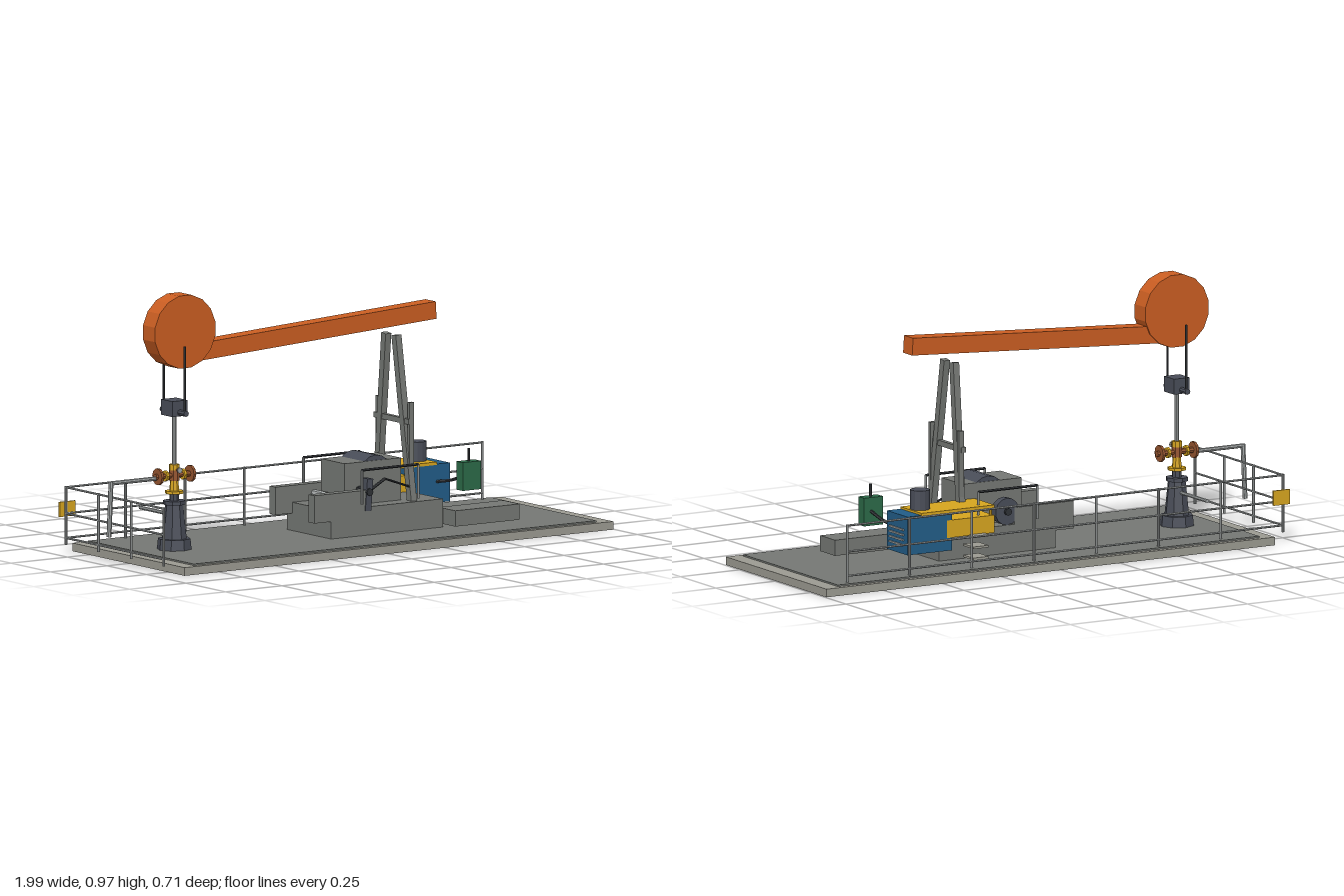
import * as THREE from 'three';

const material = (name, color) => {
  const m = new THREE.MeshStandardMaterial({ color, flatShading: true });
  m.name = name;
  return m;
};
const V = (x, y, z) => new THREE.Vector3(x, y, z);

export function createModel() {
  const model = new THREE.Group();
  model.name = 'pumpJack';
  const concrete = material('concrete', 0x9c9b92);
  const grey = material('grey', 0x757874);
  const steel = material('steel', 0xa3a7a7);
  const slate = material('slate', 0x494d58);
  const dark = material('dark', 0x2f3236);
  const orange = material('orange', 0xcb5e22);
  const yellow = material('yellow', 0xd7a51f);
  const blue = material('blue', 0x225d88);
  const green = material('green', 0x2c6a48);
  const rust = material('rust', 0x96552f);

  const add = (name, geometry, mat) => {
    const mesh = new THREE.Mesh(geometry, mat);
    mesh.name = name;
    model.add(mesh);
    return mesh;
  };
  // box given by its low and high limits on each axis
  const box = (name, mat, [x0, x1], [y0, y1], [z0, z1]) => {
    const mesh = add(name, new THREE.BoxGeometry(x1 - x0, y1 - y0, z1 - z0), mat);
    mesh.position.set((x0 + x1) / 2, (y0 + y1) / 2, (z0 + z1) / 2);
    return mesh;
  };
  // round bar from a to b
  const rod = (name, mat, a, b, r0, r1 = r0, sides = 8) => {
    const mesh = add(name, new THREE.CylinderGeometry(r1, r0, a.distanceTo(b), sides), mat);
    mesh.position.copy(a).lerp(b, 0.5);
    mesh.quaternion.setFromUnitVectors(V(0, 1, 0), b.clone().sub(a).normalize());
    return mesh;
  };
  // square bar in the plane x = constant
  const strut = (name, mat, a, b, w, d) => {
    const mesh = add(name, new THREE.BoxGeometry(d, a.distanceTo(b), w), mat);
    mesh.position.copy(a).lerp(b, 0.5);
    mesh.quaternion.setFromUnitVectors(V(0, 1, 0), b.clone().sub(a).normalize());
    return mesh;
  };

  // ground slab and pedestal
  box('slab', concrete, [-0.905, 0.995], [0, 0.03], [-0.355, 0.355]);
  box('deck', grey, [-0.85, 0.935], [0.03, 0.036], [-0.335, 0.335]);
  box('pedestal', grey, [-0.105, 0.39], [0.035, 0.14], [-0.14, 0.14]);
  box('cableTrunk', grey, [0.4, 0.685], [0.045, 0.103], [0.1, 0.205]);

  // walking beam and round head
  const beam = add('walkingBeam', new THREE.BoxGeometry(1.08, 0.064, 0.064), orange);
  beam.position.set(-0.103, 0.784, 0);
  beam.rotation.z = Math.atan2(0.058, 1);
  const head = add('beamHead', new THREE.CylinderGeometry(0.136, 0.136, 0.076, 16), orange);
  head.rotation.set(Math.PI / 2, Math.PI / 16, 0);
  head.position.set(-0.68, 0.836, 0);

  // A-frame post and uprights
  for (const s of [-1, 1]) {
    strut('postLeg', grey, V(0.275, 0.13, 0.11 * s), V(0.26, 0.74, 0.032 * s), 0.028, 0.025);
    box('upright', grey, [0.265, 0.285], [0.14, 0.5], [0.101 * s - 0.007, 0.101 * s + 0.007]);
  }
  box('postCrossbar', grey, [0.258, 0.276], [0.42, 0.44], [-0.11, 0.11]);

  // gearbox, drum, crankshaft, counterweights
  box('gearbox', grey, [0, 0.25], [0.14, 0.295], [-0.075, 0.075]);
  rod('gearboxDrum', slate, V(0.14, 0.2425, -0.072), V(0.14, 0.2425, 0.072), 0.0725, 0.0725, 16);
  rod('crankshaft', steel, V(-0.008, 0.165, -0.11), V(-0.008, 0.165, 0.11), 0.014);
  rod('beltPulley', slate, V(0.1, 0.19, -0.14), V(0.1, 0.19, -0.11), 0.05, 0.05, 14);
  rod('pulleyHub', dark, V(0.1, 0.19, -0.15), V(0.1, 0.19, -0.07), 0.014);
  for (const s of [-1, 1]) {
    const [z0, z1] = s > 0 ? [0.105, 0.142] : [-0.142, -0.105];
    box('counterweight', grey, [-0.18, 0.07], [0.1, 0.202], [z0, z1]);
    // guard frame beside the gearbox
    for (const x of [0, 0.25]) rod('guardPost', steel, V(x, 0.16, 0.185 * s), V(x, 0.285, 0.185 * s), 0.005, 0.005, 6);
    rod('guardRail', dark, V(0, 0.285, 0.185 * s), V(0.25, 0.285, 0.185 * s), 0.005, 0.005, 6);
  }
  const arm = box('crankArm', slate, [0.048, 0.074], [0.125, 0.243], [0.112, 0.145]);
  arm.rotation.z = -0.08;
  rod('crankPin', dark, V(0.06, 0.195, 0.08), V(0.06, 0.195, 0.152), 0.014);
  rod('brakeLever', dark, V(0.06, 0.19, 0.13), V(0.14, 0.235, 0.13), 0.006);
  rod('brakeLink', dark, V(0.14, 0.235, 0.13), V(0.27, 0.19, 0.11), 0.004);

  // engine
  box('engineBody', yellow, [0.2, 0.4], [0.135, 0.2], [-0.215, -0.07]);
  box('engineTopPlate', yellow, [0.2, 0.51], [0.227, 0.238], [-0.217, -0.068]);
  for (const z of [-0.205, -0.08]) rod('topPlatePost', yellow, V(0.21, 0.19, z), V(0.21, 0.23, z), 0.005);
  box('radiatorHousing', blue, [0.38, 0.568], [0.088, 0.23], [-0.215, -0.07]);
  for (let i = 0; i < 4; i++) {
    const y = 0.118 + i * 0.019;
    box('louvre', steel, [0.566, 0.574], [y, y + 0.006], [-0.19, -0.092]);
  }
  rod('exhaust', slate, V(0.47, 0.235, -0.14), V(0.47, 0.31, -0.14), 0.036, 0.036, 12);
  for (let i = 0; i < 3; i++) {
    const y = 0.048 + i * 0.041;
    box('stepTread', concrete, [0.24, 0.305], [y, y + 0.008], [-0.242, -0.17]);
  }

  // control cabinet with mast and cable
  box('controlCabinet', green, [0.51, 0.59], [0.152, 0.256], [0.054, 0.095]);
  rod('cabinetMast', dark, V(0.55, 0.25, 0.075), V(0.55, 0.303, 0.075), 0.005);
  const cable = new THREE.CatmullRomCurve3([V(0.56, 0.205, 0.055), V(0.54, 0.175, -0.02), V(0.51, 0.165, -0.075)]);
  add('controlCable', new THREE.TubeGeometry(cable, 10, 0.006, 6), dark);

  // hanger: cables, carrier and rod
  const wx = -0.702;
  box('carrier', slate, [wx - 0.033, wx + 0.033], [0.527, 0.584], [-0.036, 0.036]);
  rod('carrierBar', slate, V(wx, 0.541, -0.077), V(wx, 0.541, 0.077), 0.011);
  for (const s of [-1, 1]) rod('bridleCable', dark, V(wx, 0.53, 0.066 * s), V(wx, 0.787, 0.066 * s), 0.004, 0.004, 6);
  rod('polishedRod', steel, V(wx, 0.2, 0), V(wx, 0.53, 0), 0.008);

  // wellhead stack: [name, material, y0, y1, bottom radius, top radius]
  for (const [name, mat, y0, y1, r0, r1] of [
    ['wellFlange', slate, 0.035, 0.075, 0.064, 0.06],
    ['wellColumn', slate, 0.075, 0.2, 0.046, 0.033],
    ['columnCap', slate, 0.2, 0.214, 0.041, 0.041],
    ['lowerSpool', slate, 0.214, 0.24, 0.018, 0.018],
    ['spoolFlange', yellow, 0.24, 0.25, 0.034, 0.034],
    ['valveBody', yellow, 0.25, 0.29, 0.018, 0.015],
    ['crossBody', rust, 0.288, 0.326, 0.02, 0.02],
    ['stuffingBox', yellow, 0.326, 0.347, 0.019, 0.019],
  ]) rod(name, mat, V(wx, y0, 0), V(wx, y1, 0), r0, r1, 8);
  rod('crossPipe', rust, V(wx - 0.085, 0.307, 0), V(wx + 0.085, 0.307, 0), 0.011);
  for (const s of [-1, 1]) {
    rod('crossFlange', yellow, V(wx + 0.034 * s, 0.307, 0), V(wx + 0.044 * s, 0.307, 0), 0.02);
    rod('handwheel', rust, V(wx + 0.066 * s, 0.307, 0), V(wx + 0.076 * s, 0.307, 0), 0.031, 0.031, 10);
  }
  rod('valveStem', rust, V(wx, 0.328, 0), V(wx, 0.328, 0.034), 0.005);
  rod('stemKnob', steel, V(wx, 0.328, 0.032), V(wx, 0.328, 0.037), 0.011);
  rod('sidePipe', steel, V(wx, 0.16, 0), V(wx, 0.16, -0.215), 0.007);

  // flow line
  rod('flowLine', steel, V(wx - 0.08, 0.301, 0), V(-0.985, 0.301, 0), 0.008);
  rod('flowLineDrop', steel, V(-0.982, 0.307, 0), V(-0.991, 0.105, 0), 0.009);

  // railing along the back and the far end
  const rx = -0.965, rz = 0.31;
  const post = (x, z) => rod('railPost', steel, V(x, 0.035, z), V(x, 0.25, z), 0.005, 0.005, 6);
  for (let i = 0; i <= 7; i++) post(rx + (i * 1.845) / 7, -rz);
  for (let i = 1; i <= 3; i++) post(rx, -rz + (i * 2 * rz) / 3);
  for (const y of [0.06, 0.15, 0.246]) {
    rod('backRail', steel, V(rx, y, -rz), V(0.88, y, -rz), 0.004, 0.004, 6);
    rod('endRail', steel, V(rx, y, -rz), V(rx, y, rz), 0.004, 0.004, 6);
  }
  box('warningPlate', yellow, [-0.99, -0.92], [0.138, 0.193], [-0.32, -0.313]);

  return model;
}
